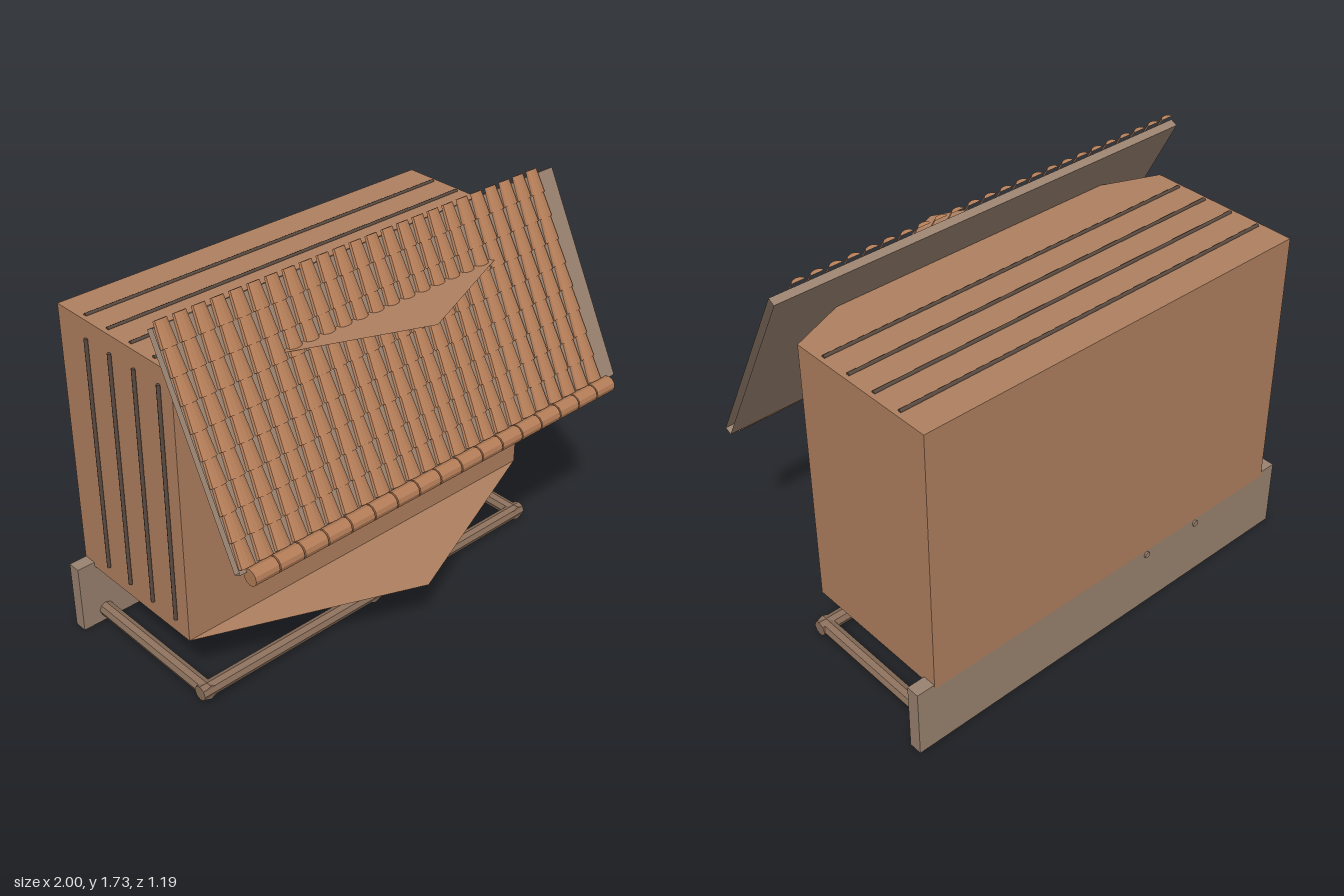
import * as THREE from 'three';
import { mergeGeometries } from 'three/addons/utils/BufferGeometryUtils.js';

const mat = (name, color, extra = {}) => {
  const m = new THREE.MeshStandardMaterial({ color, ...extra });
  m.name = name;
  return m;
};

export function createModel() {
  const root = new THREE.Group();
  root.name = 'tiledCabin';
  const clay = mat('clay', 0xb08060, { side: THREE.DoubleSide });
  const tileMat = mat('terracotta', 0xb47d58, { flatShading: true });
  const timber = mat('weatheredTimber', 0x9a8270, { side: THREE.DoubleSide });
  const pipe = mat('pipeBrown', 0x8c705c, { flatShading: true });
  const dark = mat('darkBars', 0x5a4b41);
  const green = mat('leafGreen', 0x5f9468);

  const add = (name, geo, material, parent = root) => {
    const m = new THREE.Mesh(geo, material);
    m.name = name;
    parent.add(m);
    return m;
  };
  // box given by its min and max on each axis
  const box = (x0, x1, y0, y1, z0, z1) =>
    new THREE.BoxGeometry(x1 - x0, y1 - y0, z1 - z0)
      .translate((x0 + x1) / 2, (y0 + y1) / 2, (z0 + z1) / 2);
  const rodX = (r, x0, x1, y, z, n = 8) =>
    new THREE.CylinderGeometry(r, r, x1 - x0, n).rotateZ(Math.PI / 2).translate((x0 + x1) / 2, y, z);
  const rodZ = (r, z0, z1, x, y, n = 8) =>
    new THREE.CylinderGeometry(r, r, z1 - z0, n).rotateX(Math.PI / 2).translate(x, y, (z0 + z1) / 2);

  // Main body, with pointed sheets extending its top and floor forwards
  add('body', box(-0.92, 0.92, 0.294, 1.485, -0.59, 0.104), clay);
  const prow = new THREE.Shape([[-0.92, 0.104], [0.92, 0.104], [0, 0.48]].map(p => new THREE.Vector2(...p)));
  for (const [name, y] of [['topProw', 1.485], ['floorProw', 0.294]])
    add(name, new THREE.ShapeGeometry(prow).rotateX(Math.PI / 2).translate(0, y, 0), clay);

  // Dark bars on the top, floor and one side
  const bars = [];
  for (let i = 0; i < 4; i++) {
    const z = -0.44 + i * 0.14;
    bars.push(rodX(0.008, -0.9, 0.9, 1.486, z), rodX(0.008, -0.9, 0.9, 0.292, z));
    bars.push(new THREE.CylinderGeometry(0.008, 0.008, 1.05, 8).translate(-0.926, 0.885, -0.41 + i * 0.147));
  }
  add('bodyBars', mergeGeometries(bars), dark);

  // Sloping roof: open-ended slab with rows of half-round tiles
  const roof = new THREE.Group();
  roof.name = 'slopingRoof';
  roof.position.set(0, 1.3025, 0.3375);
  roof.rotation.x = -0.48;
  root.add(roof);
  const slab = box(-1, 1, -0.448, 0.448, -0.034, 0);
  slab.setIndex(Array.from(slab.index.array).slice(12));
  slab.clearGroups();
  add('roofSlab', slab, timber, roof);
  const tiles = [];
  for (let row = 0; row < 9; row++)
    for (let col = 0; col < 24; col++)
      tiles.push(new THREE.CylinderGeometry(0.029, 0.036, 0.1, 6, 1, false, -Math.PI / 2, Math.PI)
        .scale(1, 1, 0.55).translate(-0.962 + col * 0.08, -0.38 + row * 0.1, 0.002));
  add('roofTiles', mergeGeometries(tiles), tileMat, roof);

  // Round cap tiles along the eave
  const caps = [];
  for (let i = 0; i < 17; i++) {
    const x = -0.97 + i * 0.113;
    caps.push(rodX(0.035, x, x + 0.107, 0.89, 0.56, 12));
  }
  add('eaveCaps', mergeGeometries(caps), tileMat);

  // Rear beam with two peg ends
  add('rearBeam', box(-1, 1, 0, 0.313, -0.588, -0.53), timber);
  for (const x of [-0.5, -0.21])
    add('beamPeg', rodZ(0.014, -0.596, -0.5, x, 0.27), timber);

  // Low pipe frame
  add('frontRail', rodX(0.033, -0.92, 0.92, 0.056, 0.15), pipe);
  for (const x of [-0.885, 0, 0.885])
    add('frameArm', rodZ(0.033, -0.53, 0.175, x, 0.056), pipe);

  // Shelf and slanted brace
  add('shelf', box(-0.51, -0.2, 0.256, 0.288, -0.53, 0.0), timber);
  add('shelfBrace', box(-0.122, 0.122, -0.009, 0.009, -0.26, -0.02), timber)
    .position.set(-0.28, 0.2, 0);
  root.children.at(-1).rotation.z = -0.47;

  // Vent with dark slats below
  add('vent', box(0.23, 0.53, 0.254, 0.283, -0.32, 0.01), timber);
  const slats = [];
  for (let i = 0; i < 8; i++) {
    const z = -0.29 + i * 0.037;
    slats.push(box(0.25, 0.51, 0.25, 0.255, z, z + 0.018));
  }
  add('ventSlats', mergeGeometries(slats), dark);

  // Wall bin with front board and tilted flap
  add('bin', box(0.12, 0.58, 0.105, 0.19, -0.53, -0.44), timber);
  add('binFront', box(0.085, 0.62, 0.093, 0.2, -0.44, -0.41), timber);
  const flap = new THREE.Shape([[0.44, 0.19], [0.475, 0.19], [0.475, 0.225]].map(p => new THREE.Vector2(...p)));
  add('binFlap', new THREE.ExtrudeGeometry(flap, { depth: 0.06, bevelEnabled: false })
    .rotateY(Math.PI / 2).translate(0.32, 0, 0), clay);

  // Small block with a dark knob
  add('lampBlock', box(0.682, 0.76, 0.183, 0.245, -0.1, 0.01), timber);
  add('lampKnob', box(0.714, 0.73, 0.22, 0.272, 0.028, 0.042), dark);

  // Plant: rings of plump leaves round a brown core
  const leaves = [];
  for (const [n, r, z, turn] of [[9, 1, -0.34, 0], [7, 0.72, -0.305, 0.3], [7, 0.6, -0.375, 0.6]])
    for (let i = 0; i < n; i++) {
      const a = turn + i / n * Math.PI * 2;
      leaves.push(new THREE.SphereGeometry(1, 10, 8).scale(0.037, 0.018, 0.022)
        .translate(-0.035 + Math.cos(a) * 0.08 * r, 0.167 + Math.sin(a) * 0.04 * r, z));
    }
  add('plantLeaves', mergeGeometries(leaves), green);
  add('plantStem', rodZ(0.014, -0.53, -0.3, -0.035, 0.165), pipe);

  return root;
}
